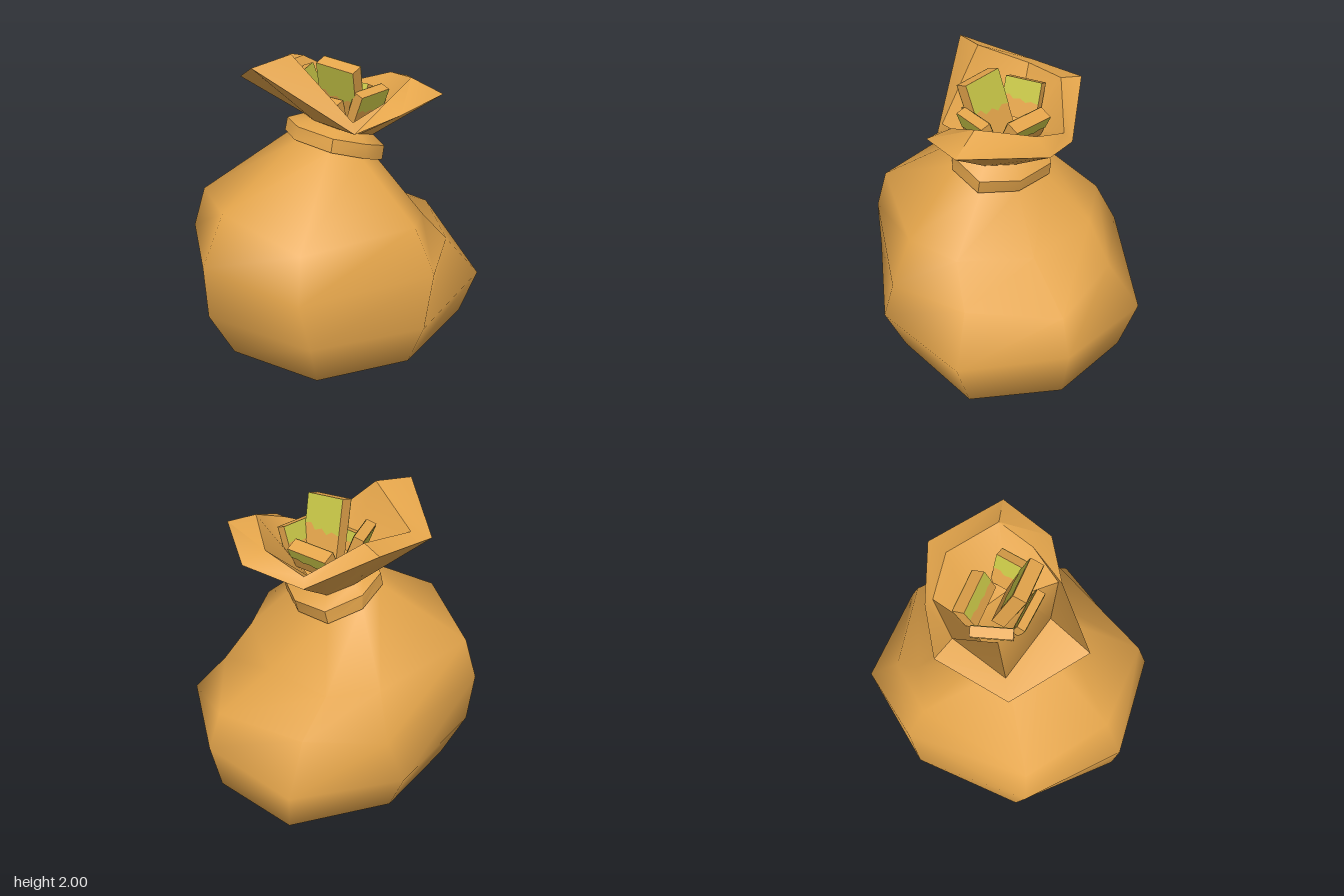
import * as THREE from 'three';
import { toCreasedNormals } from 'three/addons/utils/BufferGeometryUtils.js';

const cloth = new THREE.MeshStandardMaterial({ color: 0xe4a54b });
cloth.name = 'tan cloth';
const green = new THREE.MeshStandardMaterial({ color: 0xc8c647, side: THREE.DoubleSide });
green.name = 'banknote green';

// Corner between a side [x, z, y] and an end [z, y]
const corner = (side, end, t) => [
  side[0] * 0.75,
  THREE.MathUtils.lerp(side[2], end[1], t),
  THREE.MathUtils.lerp(side[1], end[0], t),
];

// Mirrored eight-point ring: front and back as [z, y], side as [x, z, y], corners as [x, y, z].
// Points run from the front round through +x.
function ring(front, back, side,
  frontCorner = corner(side, front, 0.69), backCorner = corner(side, back, 0.77)) {
  const half = [frontCorner, [side[0], side[2], side[1]], backCorner];
  const mirrored = half.map(([x, y, z]) => [-x, y, z]).reverse();
  return [[0, front[1], front[0]], ...half, [0, back[1], back[0]], ...mirrored];
}

const point = (x, y, z) => Array.from({ length: 8 }, () => [x, y, z]);

// Skin a stack of eight-point rings
function loft(rings) {
  const index = [];
  for (let r = 0; r < rings.length - 1; r++) {
    for (let i = 0; i < 8; i++) {
      const a = r * 8 + i, b = r * 8 + ((i + 1) % 8);
      index.push(a, b, b + 8, a, b + 8, a + 8);
    }
  }
  const geo = new THREE.BufferGeometry();
  geo.setAttribute('position', new THREE.Float32BufferAttribute(rings.flat(2), 3));
  geo.setIndex(index);
  geo.computeVertexNormals();
  return geo;
}

function add(parent, name, geo, mat) {
  const mesh = new THREE.Mesh(geo, mat);
  mesh.name = name;
  parent.add(mesh);
  return mesh;
}

// Bundle of notes with ragged green patches on its two broad faces
function bundle(parent, [x, y, z], yaw, tilt, roll, w, h, d) {
  const g = new THREE.Group();
  g.name = 'noteBundle';
  g.position.set(x, y, z);
  g.rotation.set(tilt, yaw, roll, 'YXZ');
  add(g, 'noteStack', new THREE.BoxGeometry(w, h, d), cloth);
  const patch = new THREE.Shape([
    [-0.5, 0.5], [-0.5, 0.04], [-0.32, 0.06], [-0.2, -0.04], [0, 0],
    [0.15, -0.08], [0.3, -0.02], [0.5, -0.06], [0.5, 0.5],
  ].map(([u, v]) => new THREE.Vector2(u * w, v * h)));
  for (const s of [1, -1]) {
    const plate = add(g, 'notePatch', new THREE.ShapeGeometry(patch), green);
    plate.position.z = s * (d / 2 + 0.003);
    if (s < 0) plate.rotation.y = Math.PI;
  }
  parent.add(g);
}

export function createModel() {
  const model = new THREE.Group();
  model.name = 'sackOfNotes';

  // Sagging sack body, pinched in above the rear bulge
  const base = ring([0.44, 0.01], [-0.55, 0.01], [0.45, -0.05, 0.01]);
  const shoulder = ring([0.25, 1.48], [-0.25, 1.3], [0.28, 0, 1.41]);
  add(model, 'sackBody', loft([
    base,
    ring([0.76, 0.18], [-0.87, 0.2], [0.71, -0.06, 0.17]),
    ring([0.915, 0.51], [-0.925, 0.535], [0.83, -0.06, 0.48]),
    ring([0.925, 0.85], [-0.835, 0.77], [0.785, -0.16, 0.79], [0.6, 0.8, 0.67], [0.49, 0.776, -0.55]),
    ring([0.775, 1.155], [-0.47, 0.95], [0.645, -0.12, 1.06], [0.54, 1.07, 0.61], [0.45, 1.0, -0.36]),
    shoulder,
  ]), cloth);

  // Flat underside
  add(model, 'sackBase', loft([point(0, 0, -0.05), base]), cloth);

  // Tie band round the neck
  const neck = ring([0.13, 1.58], [-0.22, 1.46], [0.24, -0.03, 1.53]);
  add(model, 'neckBand', toCreasedNormals(loft([
    shoulder,
    ring([0.27, 1.49], [-0.262, 1.3], [0.315, -0.02, 1.4]),
    ring([0.245, 1.565], [-0.285, 1.385], [0.31, -0.02, 1.49]),
    neck,
  ]), 0.8), cloth);

  // Flared mouth: outside, thick rim, then inside down to the floor
  const rimOuter = [
    [0, 1.965, 0.54], [0.35, 1.59, 0.1], [0.495, 1.7, -0.11], [0.47, 1.75, -0.455],
    [0, 1.72, -0.605], [-0.27, 1.63, -0.385], [-0.51, 1.84, -0.06], [-0.42, 1.79, 0.37],
  ];
  const rimInner = [
    [0, 2, 0.28], [0.32, 1.65, 0.09], [0.355, 1.74, -0.13], [0.31, 1.83, -0.345],
    [0, 1.77, -0.46], [-0.23, 1.68, -0.355], [-0.37, 1.86, -0.06], [-0.34, 1.82, 0.28],
  ];
  add(model, 'sackMouth', toCreasedNormals(loft([
    neck, rimOuter, rimInner,
    ring([0.09, 1.57], [-0.17, 1.48], [0.2, -0.03, 1.53]),
    point(0, 1.5, -0.04),
  ]), 0.75), cloth);

  // Tall middle bundle leaning forward, shorter ones leaning out around it
  bundle(model, [0.08, 1.745, -0.01], 0.3, 0.3, -0.1, 0.25, 0.38, 0.08);
  bundle(model, [-0.175, 1.725, 0.04], -0.93, 0.35, 0, 0.23, 0.23, 0.06);
  bundle(model, [-0.07, 1.66, -0.19], 0.32, -0.45, 0, 0.27, 0.16, 0.08);
  bundle(model, [0.185, 1.665, -0.12], 1.75, 0.35, 0, 0.24, 0.22, 0.06);
  bundle(model, [0.06, 1.67, 0.09], 0.25, 0.3, 0, 0.25, 0.12, 0.05);

  return model;
}
